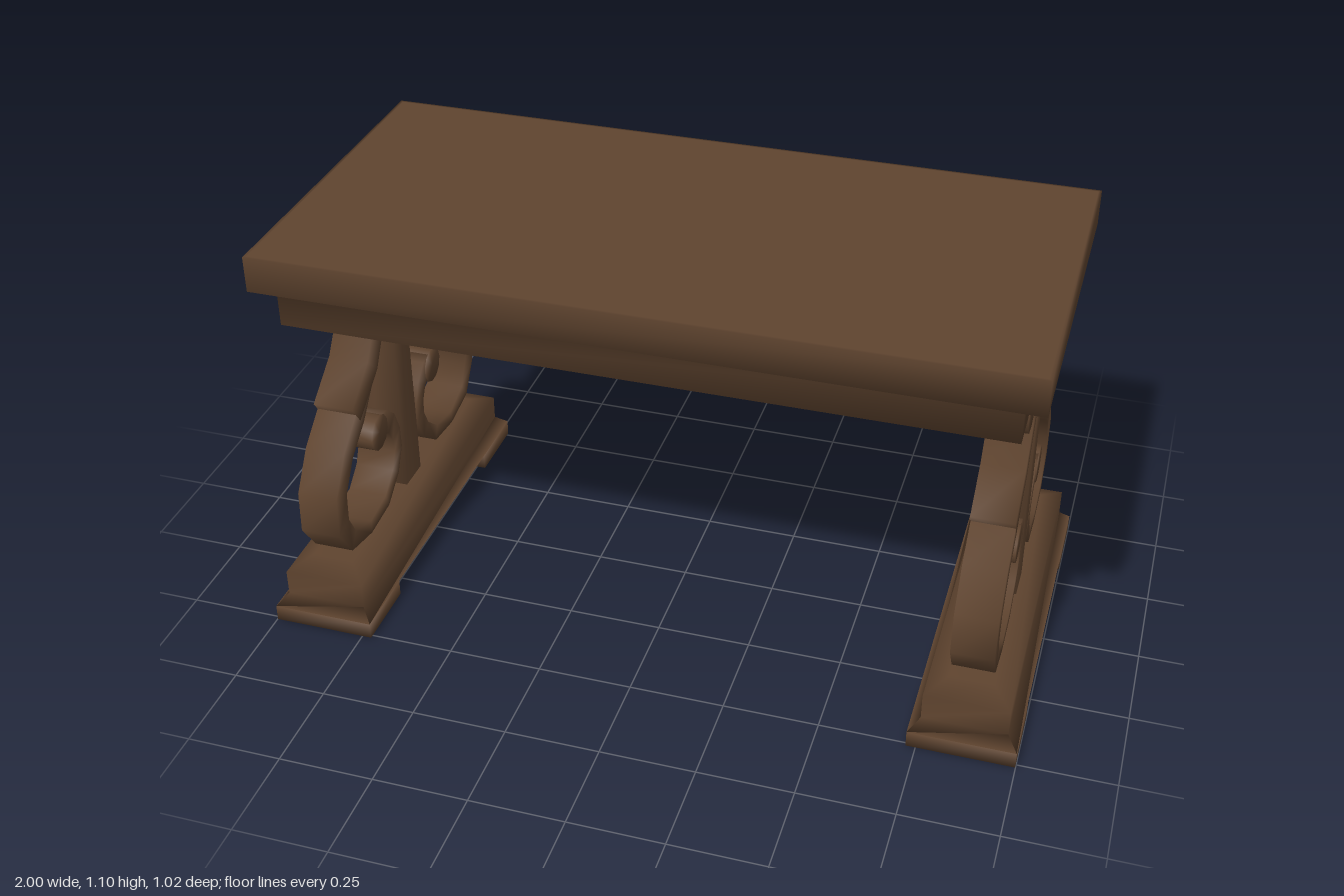
import * as THREE from 'three';
import { mergeGeometries, mergeVertices } from 'three/addons/utils/BufferGeometryUtils.js';

const LEG_X = 0.862, LEG_W = 0.11;

// Skin over a row of four-cornered rings, with end caps
function loft(rings, startCap = true) {
  const pos = [];
  const quad = (a, b, c, d) => pos.push(...a, ...b, ...c, ...a, ...c, ...d);
  for (let i = 0; i < rings.length - 1; i++) {
    const lo = rings[i], hi = rings[i + 1];
    for (let k = 0; k < 4; k++) {
      const n = (k + 1) % 4;
      quad(lo[k], lo[n], hi[n], hi[k]);
    }
  }
  quad(...rings[rings.length - 1]);
  if (startCap) quad(...[...rings[0]].reverse());
  const g = new THREE.BufferGeometry();
  g.setAttribute('position', new THREE.Float32BufferAttribute(pos, 3));
  return g;
}

// Level rectangle at height y with half sizes x and z
const level = ([y, x, z]) => [[x, y, z], [x, y, -z], [-x, y, -z], [-x, y, z]];

// Shared normals over the edges for a soft carved look
function soften(g) {
  g.deleteAttribute('uv');
  g.deleteAttribute('normal');
  const m = mergeVertices(g, 1e-4);
  m.computeVertexNormals();
  return m;
}

// Band across the leg along a centreline of [z, y, half thickness]
function band(path, width) {
  const x = width / 2;
  return soften(loft(path.map(([z, y, h], i) => {
    const a = path[Math.max(i - 1, 0)], b = path[Math.min(i + 1, path.length - 1)];
    const n = new THREE.Vector2(b[1] - a[1], a[0] - b[0]).normalize().multiplyScalar(h);
    return [[x, y + n.y, z + n.x], [x, y - n.y, z - n.x], [-x, y - n.y, z - n.x], [-x, y + n.y, z + n.x]];
  })));
}

// Round scroll end lying across the leg
function knob(z, y, r) {
  return soften(new THREE.CylinderGeometry(r, r, 0.112, 11).rotateZ(Math.PI / 2).translate(0, y, z));
}

// Under panel with a rail along each long side, open where it meets the slab
function apron(top) {
  const half = [[0.43, top], [0.43, 0.895], [0.315, 0.895], [0.315, 0.975]];
  const outline = [...half, ...half.map(([z, y]) => [-z, y]).reverse()].map(p => new THREE.Vector2(...p));
  const g = new THREE.ExtrudeGeometry(new THREE.Shape(outline), { depth: 1.834, bevelEnabled: false });
  g.translate(0, 0, -0.917).rotateY(-Math.PI / 2);
  const p = g.getAttribute('position'), kept = [];
  for (let i = 0; i < p.count; i += 3) {
    const corners = [i, i + 1, i + 2];
    if (corners.every(k => p.getY(k) > top - 0.001)) continue;
    for (const k of corners) kept.push(p.getX(k), p.getY(k), p.getZ(k));
  }
  const open = new THREE.BufferGeometry();
  open.setAttribute('position', new THREE.Float32BufferAttribute(kept, 3));
  return open;
}

export function createModel() {
  const model = new THREE.Group();
  model.name = 'table';
  const wood = new THREE.MeshStandardMaterial({ color: 0x5f442f });
  wood.name = 'darkWood';
  const add = (parent, name, geometry) => {
    const m = new THREE.Mesh(geometry, wood);
    m.name = name;
    parent.add(m);
    return m;
  };

  // Top slab whose overhang runs into the apron
  const slab = loft([
    [1.005, 0.917, 0.43], [1.005, 0.972, 0.475], [1.1, 0.972, 0.475], [1.1, 0.964, 0.467]].map(level), false);
  add(model, 'tabletop', soften(mergeGeometries([slab, apron(1.005)])));

  // Scroll pieces
  const scroll = {
    upperScroll: band([
      [0.216, 0.93, 0.038], [0.14, 0.93, 0.043], [0.096, 0.875, 0.044], [0.098, 0.81, 0.042],
      [0.117, 0.746, 0.032], [0.181, 0.647, 0.036], [0.3, 0.563, 0.034]], LEG_W),
    upperKnob: knob(0.222, 0.889, 0.085),
    lowerScroll: band([
      [0.2, 0.61, 0.015], [0.28, 0.545, 0.031], [0.367, 0.478, 0.03], [0.429, 0.388, 0.031],
      [0.434, 0.292, 0.031], [0.388, 0.219, 0.027], [0.283, 0.19, 0.019], [0.175, 0.204, 0.022],
      [0.108, 0.257, 0.023], [0.079, 0.315, 0.024], [0.082, 0.367, 0.025], [0.104, 0.415, 0.028],
      [0.14, 0.44, 0.034], [0.181, 0.446, 0.036]], LEG_W - 0.001),
    lowerKnob: knob(0.181, 0.434, 0.051),
  };
  const footBar = soften(loft([
    [0.045, 0.137, 0.51], [0.075, 0.109, 0.48], [0.145, 0.109, 0.48], [0.17, 0.056, 0.415]].map(level)));
  const footPad = soften(new THREE.BoxGeometry(0.274, 0.045, 0.195));
  const post = soften(new THREE.BoxGeometry(LEG_W, 0.805, 0.096));

  for (const side of [1, -1]) {
    const leg = new THREE.Group();
    leg.name = side > 0 ? 'leftLeg' : 'rightLeg';
    leg.position.x = side * LEG_X;
    model.add(leg);

    // Foot bar, pads and centre post
    add(leg, 'footBar', footBar);
    add(leg, 'post', post).position.y = 0.5725;
    for (const end of [1, -1]) {
      add(leg, 'footPad', footPad).position.set(0, 0.0225, end * 0.4125);

      // Scrolled brace, turned round for the back
      const brace = new THREE.Group();
      brace.name = end > 0 ? 'frontBrace' : 'backBrace';
      if (end < 0) brace.rotation.y = Math.PI;
      for (const [name, g] of Object.entries(scroll)) add(brace, name, g);
      leg.add(brace);
    }
  }
  return model;
}
